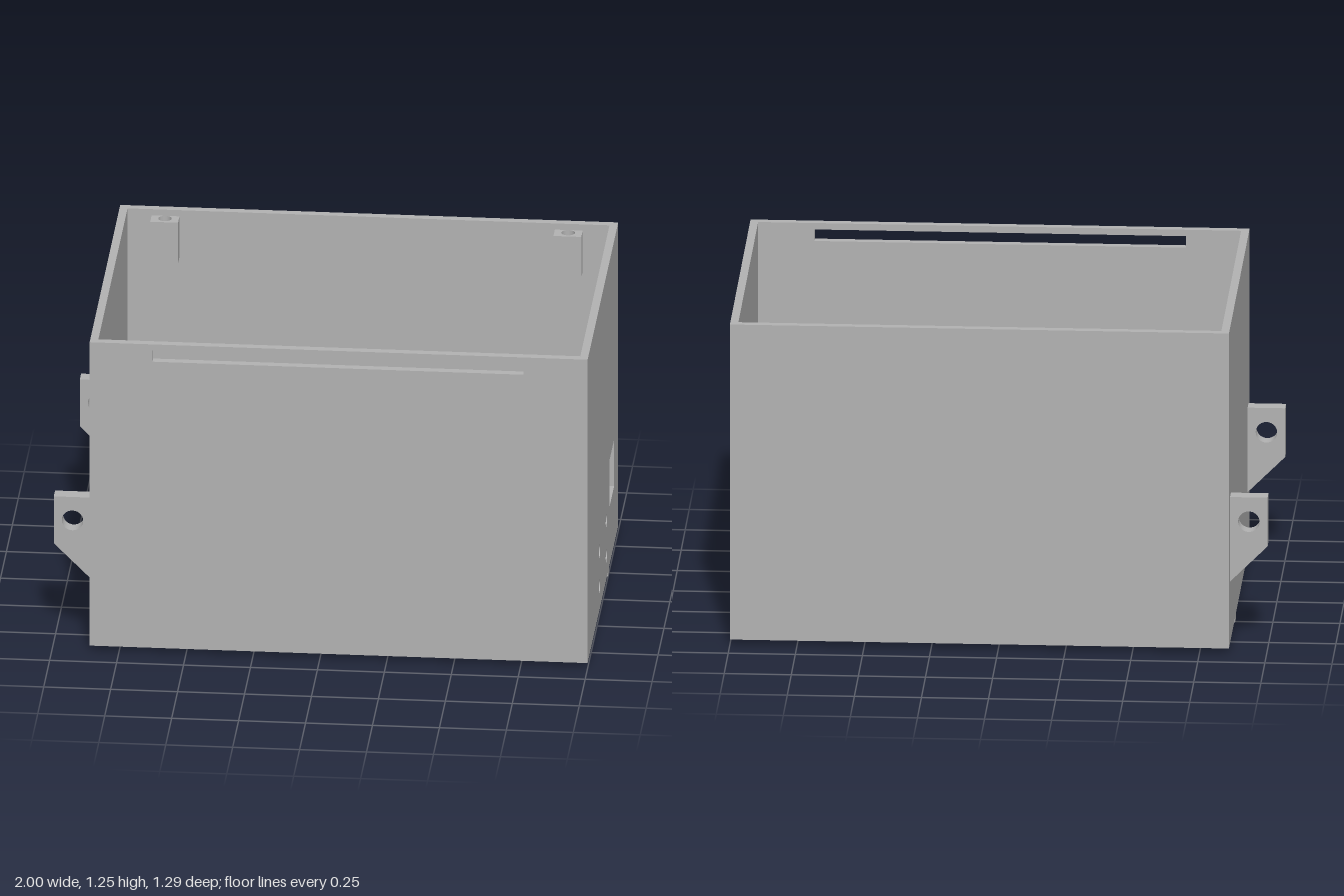
import * as THREE from 'three';

const X0 = -0.86, X1 = 1, Z = 0.645, Y0 = 0.02, Y1 = 1.25, WALL = 0.03;

// Closed outline from a list of [x, y] corners
const outline = (pts, Type = THREE.Shape) => new Type(pts.map(([x, y]) => new THREE.Vector2(x, y)));
const rect = (a, b, c, d, Type) => outline([[a, b], [c, b], [c, d], [a, d]], Type);
const circle = (x, y, r) => new THREE.Path().absarc(x, y, r, 0, Math.PI * 2, true);

function plate(shape, depth, holes = []) {
  shape.holes.push(...holes);
  return new THREE.ExtrudeGeometry(shape, { depth, bevelEnabled: false, curveSegments: 32 });
}

export function createModel() {
  const group = new THREE.Group();
  const grey = new THREE.MeshStandardMaterial({ color: 0xb2b2b2 });
  grey.name = 'grey plastic';

  const add = (name, geometry) => {
    const mesh = new THREE.Mesh(geometry, grey);
    mesh.name = name;
    group.add(mesh);
    return mesh;
  };
  const box = (name, x0, x1, y0, y1, z0, z1) =>
    add(name, new THREE.BoxGeometry(x1 - x0, y1 - y0, z1 - z0))
      .position.set((x0 + x1) / 2, (y0 + y1) / 2, (z0 + z1) / 2);

  // Open-topped case: floor, plain back and right-hand walls
  const zi = Z - WALL;
  box('floor', X0 + WALL, X1 - WALL, Y0, Y0 + WALL, -zi, zi);
  box('backWall', X0, X1, Y0, Y1, -Z, -zi);
  box('rightWall', X0, X0 + WALL, Y0, Y1, -zi, zi);

  // Front wall with a long slot under the rim
  const slot = rect(-0.625, 1.18, 0.76, 1.225, THREE.Path);
  add('frontWall', plate(rect(X0, Y0, X1, Y1), WALL, [slot])).position.z = zi;

  // Left wall with a square window and four screw holes, drawn with x = -z
  const cutouts = [rect(0.285, 0.255, 0.475, 0.445, THREE.Path)];
  for (const u of [-0.143, 0.143])
    for (const y of [0.115, 0.257]) cutouts.push(circle(u, y, 0.025));
  const leftWall = add('leftWall', plate(rect(-zi, Y0, zi, Y1), WALL, cutouts));
  leftWall.rotation.y = Math.PI / 2;
  leftWall.position.x = X1 - WALL;

  // Rib along the underside
  box('bottomRib', X0, X1, 0, Y0, -0.26, -0.215);

  // Mounting lugs
  for (const z of [0.521, -0.577]) {
    const profile = outline([[X0, 0.26], [X0, 0.59], [-1, 0.59], [-1, 0.4]]);
    add('mountingLug', plate(profile, 0.055, [circle(-0.93, 0.495, 0.04)])).position.z = z;
  }

  // Screw posts inside the back wall, with blind holes from the top
  for (const x of [-0.688, 0.818]) {
    const top = plate(rect(x - 0.052, 0.555, x + 0.052, zi), 0.12, [circle(x, 0.59, 0.025)]);
    const post = add('screwPost', top);
    post.rotation.x = -Math.PI / 2;
    post.position.set(0, 1.105, 0);
    box('screwPostBase', x - 0.052, x + 0.052, 1.06, 1.105, -zi, -0.555);
  }
  return group;
}
